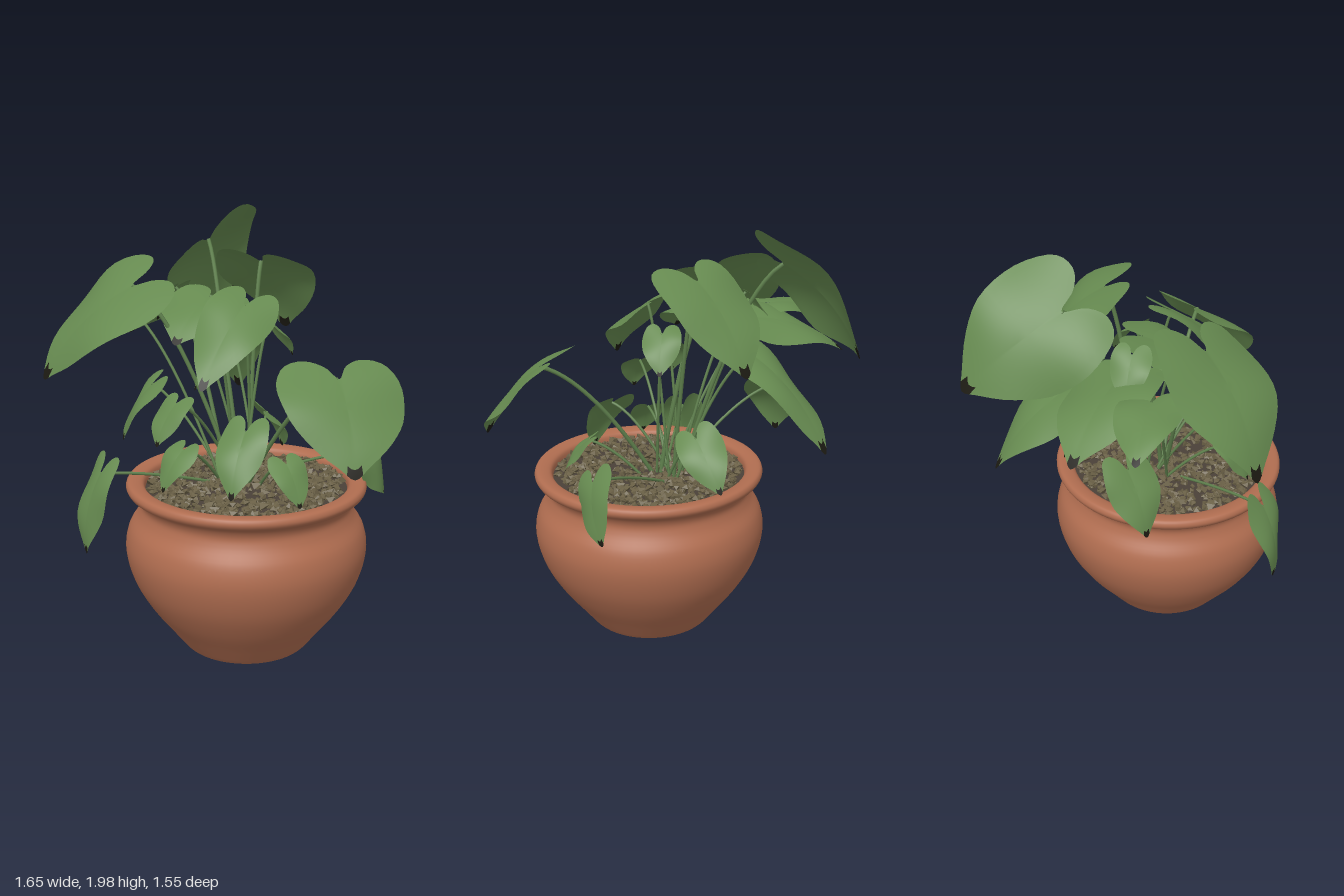
import * as THREE from 'three';
import { mergeGeometries } from 'three/addons/utils/BufferGeometryUtils.js';

const mat = (name, color, opts = {}) => {
  const m = new THREE.MeshStandardMaterial({ color, ...opts });
  m.name = name;
  return m;
};
const CENTER = [0.11, 0.22]; // pot axis in x, z
const CROWN = new THREE.Vector3(0.08, 0.74, 0.13); // where the stalks rise

function seeded(seed) {
  return () => {
    seed = (seed * 16807) % 2147483647;
    return seed / 2147483647;
  };
}

// Heart outline: half width 1, notch at y 0, tip at y 1
const half = [[0, 0], [0.16, -0.15], [0.45, -0.24], [0.8, -0.17], [1, 0.1], [0.93, 0.4], [0.62, 0.68], [0.22, 0.9]];
const heart = [...half, [0, 1], ...half.slice(1).reverse().map(([x, y]) => [-x, y])];
const heartCurve = new THREE.CatmullRomCurve3(heart.map(([x, y]) => new THREE.Vector3(x, y, 0)), true, 'centripetal');

// Leaf blade from stalk joint to tip, rolled about its midrib, bowed and wavy
function leafGeometry(base, tip, roll, halfWidth, phase) {
  const dir = tip.clone().sub(base);
  const length = dir.length();
  dir.normalize();
  const across = new THREE.Vector3(dir.z, 0, -dir.x).normalize().applyAxisAngle(dir, roll);
  const normal = new THREE.Vector3().crossVectors(dir, across);
  const outline = heartCurve.getPoints(56);
  const rings = 8, n = outline.length - 1, pos = [], blade = [], withered = [];
  const point = (u, v) => {
    const lift = length * (0.36 * v * (1 - v) - 0.09 * u * u + 0.05 * Math.abs(u) * (1 - v)
      + 0.045 * u * Math.sin(v * 6 + phase));
    const p = base.clone().addScaledVector(across, u * halfWidth)
      .addScaledVector(dir, v * length).addScaledVector(normal, lift);
    pos.push(p.x, p.y, p.z);
  };
  point(0, 0.3);
  for (let r = 1; r <= rings; r++) {
    for (let i = 0; i < n; i++) {
      const k = r / rings;
      point(outline[i].x * k, 0.3 + (outline[i].y - 0.3) * k);
    }
  }
  for (let i = 0; i < n; i++) {
    const j = (i + 1) % n;
    blade.push(0, 1 + i, 1 + j);
    for (let r = 0; r < rings - 1; r++) {
      const a = 1 + r * n + i, b = 1 + r * n + j;
      const atTip = r === rings - 2 && Math.min(outline[i].y, outline[j].y) > 0.94;
      (atTip ? withered : blade).push(a, a + n, b + n, a, b + n, b);
    }
  }
  const g = new THREE.BufferGeometry();
  g.setAttribute('position', new THREE.Float32BufferAttribute(pos, 3));
  g.setIndex([...blade, ...withered]);
  g.addGroup(0, blade.length, 0);
  g.addGroup(blade.length, withered.length, 1);
  g.computeVertexNormals();
  return g;
}

// Grown leaves: joint x y z, tip x y z, roll, half width
const GROWN = [
  [-0.2, 1.81, -0.33, -0.17, 1.46, -0.77, -0.93, 0.285], // tall back
  [0.11, 1.75, -0.09, 0.17, 1.38, -0.42, 0, 0.23],
  [-0.41, 1.67, 0.24, -0.8, 1.25, 0.37, -0.33, 0.3], // big left
  [-0.28, 1.51, -0.1, -0.64, 1.32, -0.38, 0.15, 0.21],
  [-0.09, 1.4, -0.24, -0.12, 1, -0.65, -0.1, 0.17],
  [-0.52, 1.52, -0.02, -0.82, 1.42, -0.15, 0.1, 0.14],
  [0.63, 0.91, 0.08, 0.72, 0.67, -0.06, 1.1, 0.12], // low right
  [-0.49, 0.87, 0.52, -0.55, 0.5, 0.57, -0.15, 0.11], // low left
  [0.56, 1.35, 0.47, 0.67, 1, 0.73, -0.1, 0.28], // big right front
  [0.1, 1.6, 0.22, -0.02, 1.28, 0.54, -0.3, 0.16],
  [-0.1, 1.6, 0.03, -0.2, 1.42, 0.3, -0.1, 0.2],
  [0.15, 1.08, 0.42, 0.12, 0.81, 0.58, 0, 0.115],
  [0.14, 1.02, -0.11, 0.18, 0.8, -0.29, 0.6, 0.11], // low back
  [-0.43, 1.13, -0.1, -0.57, 0.85, -0.04, 0, 0.13], // low back left
];
// Young leaves: joint only, they all droop away from the crown
const YOUNG = [[-0.14, 1.21, 0.5], [0.33, 0.94, 0.41], [-0.13, 0.98, 0.44],
  [-0.29, 1.62, -0.05], [0.18, 1.5, 0.06], [-0.02, 1.38, 0.2]];

export function createModel() {
  const group = new THREE.Group();
  const terracotta = mat('terracotta', 0xb06d50);
  const soilMat = mat('dark soil', 0x4a4138);
  const pebbleMat = mat('pebble brown', 0x6a6046, { flatShading: true });
  const leafMat = mat('leaf green', 0x668a50, { side: THREE.DoubleSide });
  const tipMat = mat('withered tip', 0x1c1a12, { side: THREE.DoubleSide });
  const stemMat = mat('stem green', 0x5e7f4c);
  const rand = seeded(4271);
  const add = (name, geometry, material) => {
    const m = new THREE.Mesh(geometry, material);
    m.name = name;
    group.add(m);
    return m;
  };

  // Pot: belly, neck, rolled rim and inner wall
  const wall = new THREE.CatmullRomCurve3([
    [0.305, 0.01], [0.37, 0.095], [0.46, 0.215], [0.53, 0.345], [0.56, 0.48],
    [0.543, 0.575], [0.5, 0.645], [0.487, 0.69], [0.505, 0.73], [0.542, 0.752],
    [0.553, 0.775], [0.542, 0.797], [0.5, 0.798], [0.472, 0.785], [0.462, 0.74],
  ].map(([r, y]) => new THREE.Vector3(r, y, 0)), false, 'centripetal').getPoints(64);
  const profile = [new THREE.Vector2(0.295, 0), ...wall.map((p) => new THREE.Vector2(p.x, p.y))];
  add('pot', new THREE.LatheGeometry(profile, 72), terracotta).position.set(CENTER[0], 0, CENTER[1]);
  const bottom = add('potBottom', new THREE.CircleGeometry(0.295, 72), terracotta);
  bottom.rotation.x = Math.PI / 2;
  bottom.position.set(CENTER[0], 0, CENTER[1]);

  // Soil covered in angular pebbles
  const soil = add('soil', new THREE.CircleGeometry(0.468, 64), soilMat);
  soil.rotation.x = -Math.PI / 2;
  soil.position.set(CENTER[0], 0.757, CENTER[1]);
  const stones = [];
  for (let i = 0; i < 1000; i++) {
    const a = rand() * Math.PI * 2, r = 0.448 * Math.sqrt(rand()), s = 0.012 + rand() * 0.01;
    const g = i % 4 ? new THREE.OctahedronGeometry(1) : new THREE.TetrahedronGeometry(1.25);
    g.rotateX(rand() * 6).rotateZ(rand() * 6);
    g.scale(s * 1.3, s * 0.85, s).rotateY(rand() * 6);
    g.translate(CENTER[0] + r * Math.cos(a), 0.762 + rand() * 0.015, CENTER[1] + r * Math.sin(a));
    stones.push(g);
  }
  add('pebbles', mergeGeometries(stones), pebbleMat);

  // A leaf on an arching stalk that rises from the crown
  let count = 0;
  const addLeaf = (base, tip, roll, halfWidth) => {
    count++;
    add('leaf' + count, leafGeometry(base, tip, roll, halfWidth, count * 1.7), [leafMat, tipMat]);
    const a = count * 2.4, spread = 0.02 + 0.07 * rand();
    const root = CROWN.clone().add(new THREE.Vector3(spread * Math.cos(a), 0, spread * Math.sin(a)));
    root.x += (base.x - root.x) * 0.12;
    root.z += (base.z - root.z) * 0.12;
    const mid = root.clone().lerp(base, 0.58);
    mid.y = root.y + (base.y - root.y) * 0.88;
    const stalk = new THREE.QuadraticBezierCurve3(root, mid, base);
    add('stalk' + count, new THREE.TubeGeometry(stalk, 20, halfWidth > 0.18 ? 0.01 : 0.007, 7), stemMat);
  };
  for (const [bx, by, bz, tx, ty, tz, roll, halfWidth] of GROWN) {
    addLeaf(new THREE.Vector3(bx, by, bz), new THREE.Vector3(tx, ty, tz), roll, halfWidth);
  }
  for (const joint of YOUNG) {
    const base = new THREE.Vector3(...joint);
    const tip = base.clone().sub(CROWN).setY(0).setLength(0.12).add(base);
    tip.y -= 0.17;
    addLeaf(base, tip, 0, 0.09);
  }
  return group;
}
